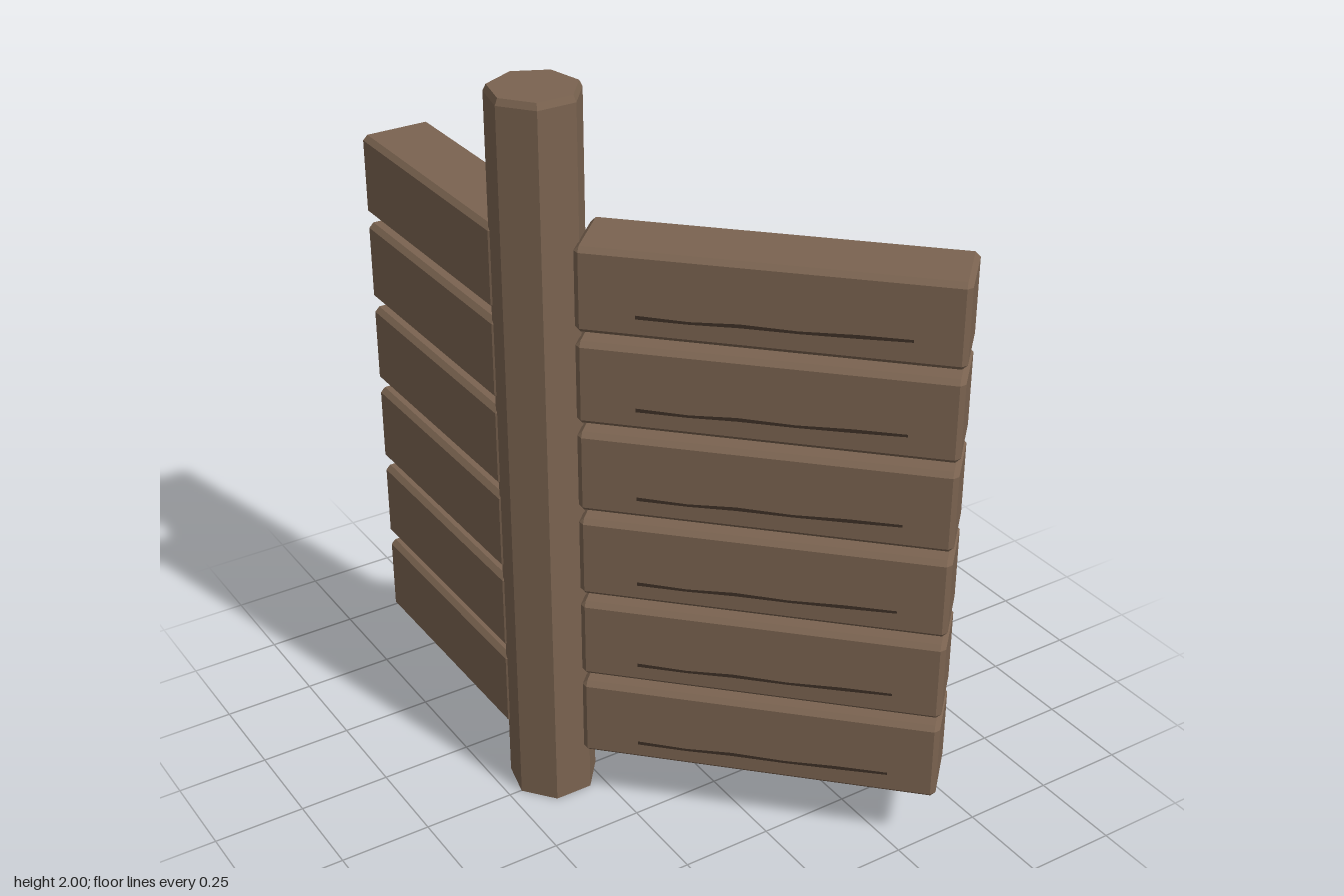
import * as THREE from 'three';
import { ConvexGeometry } from 'three/addons/geometries/ConvexGeometry.js';

const wood = new THREE.MeshStandardMaterial({ color: 0x7a6350 });
wood.name = 'wood';
const darkGrain = new THREE.MeshStandardMaterial({ color: 0x3d2f25, side: THREE.DoubleSide });
darkGrain.name = 'dark grain';

// Box with all edges chamfered by b
function chamferBox(w, h, d, b) {
  const points = [];
  for (const sx of [-1, 1]) for (const sy of [-1, 1]) for (const sz of [-1, 1]) {
    const x = w / 2, y = h / 2, z = d / 2;
    points.push(
      new THREE.Vector3(sx * x, sy * (y - b), sz * (z - b)),
      new THREE.Vector3(sx * (x - b), sy * y, sz * (z - b)),
      new THREE.Vector3(sx * (x - b), sy * (y - b), sz * z)
    );
  }
  return new ConvexGeometry(points);
}

// Seven-sided post with a small bevel at the top
function postGeometry() {
  const profile = [[0, 0], [0.12, 0], [0.12, 1.983], [0.112, 2], [0, 2]]
    .map(([r, y]) => new THREE.Vector2(r, y));
  const geometry = new THREE.LatheGeometry(profile, 7, Math.PI).toNonIndexed();
  geometry.computeVertexNormals();
  return geometry;
}

// Thin, slightly wavy crack outline
function grainGeometry() {
  const upper = [[-0.33, -0.038], [-0.2, -0.041], [-0.08, -0.034], [0.06, -0.037], [0.2, -0.031], [0.33, -0.03]];
  const lower = upper.map(([x, y], i) => [x, y - (i % 2 ? 0.007 : 0.01)]).reverse();
  const outline = [...upper, ...lower].map(([x, y]) => new THREE.Vector2(x, y));
  return new THREE.ShapeGeometry(new THREE.Shape(outline));
}

export function createModel() {
  const model = new THREE.Group();
  model.name = 'cornerFence';
  const add = (parent, geometry, material, name, x, y, z) => {
    const mesh = new THREE.Mesh(geometry, material);
    mesh.name = name;
    mesh.position.set(x, y, z);
    parent.add(mesh);
    return mesh;
  };

  add(model, postGeometry(), wood, 'post', -0.347, 0, -0.025);

  const frontWing = new THREE.Group();
  frontWing.name = 'frontWing';
  frontWing.position.set(0.064, 0, 0.386);
  frontWing.rotation.y = -Math.PI / 4;
  const backWing = new THREE.Group();
  backWing.name = 'backWing';
  model.add(frontWing, backWing);

  const frontBoard = chamferBox(0.942, 0.226, 0.196, 0.013);
  const backBoard = chamferBox(0.198, 0.226, 0.705, 0.013);
  const grain = grainGeometry();

  // Six rows of boards, with cracks on both faces of the front wing
  for (let i = 0; i < 6; i++) {
    const y = 0.275 + i * 0.251;
    add(frontWing, frontBoard, wood, 'frontBoard', 0, y, 0);
    add(backWing, backBoard, wood, 'backBoard', -0.348, y, -0.4325);
    for (const side of [-1, 1]) {
      add(frontWing, grain, darkGrain, 'grainLine', 0.016, y, side * 0.121);
    }
  }
  return model;
}
